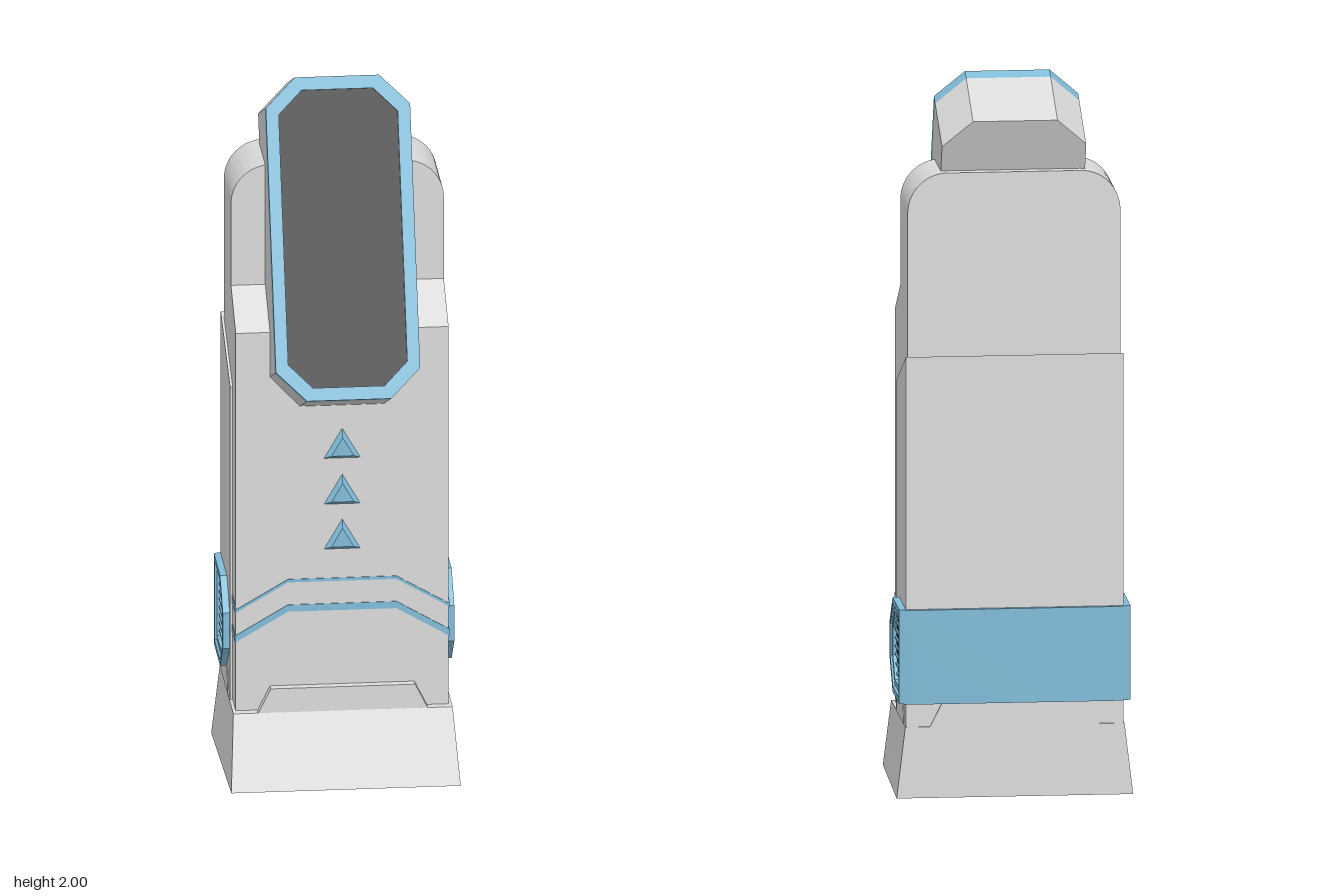
import * as THREE from 'three';
import { toCreasedNormals } from 'three/addons/utils/BufferGeometryUtils.js';

const mat = (name, color) => {
  const m = new THREE.MeshStandardMaterial({ color });
  m.name = name;
  return m;
};

export function createModel() {
  const grey = mat('pale grey shell', 0xdadada);
  const blue = mat('blue trim', 0x80bcd8);
  const black = mat('black screen', 0x363636);
  const dark = mat('dark vent', 0x14303e);

  const root = new THREE.Group();
  root.name = 'kiosk';

  const add = (name, geo, material, parent = root) => {
    const mesh = new THREE.Mesh(geo, material);
    mesh.name = name;
    parent.add(mesh);
    return mesh;
  };
  const toShape = (pts) => new THREE.Shape(pts.map(([a, b]) => new THREE.Vector2(a, b)));

  // Outline in x,y pushed along z from z0 to z1
  const extrudeZ = (shape, z0, z1) => {
    const g = new THREE.ExtrudeGeometry(shape, { depth: z1 - z0, bevelEnabled: false, curveSegments: 10 });
    g.translate(0, 0, z0);
    return toCreasedNormals(g, 0.5);
  };
  // Outline in z,y pushed along x from x0 to x1
  const extrudeX = (shape, x0, x1) => {
    const g = new THREE.ExtrudeGeometry(shape, { depth: x1 - x0, bevelEnabled: false });
    g.rotateY(-Math.PI / 2);
    g.translate(x1, 0, 0);
    return g;
  };
  const ring = (outer, inner) => {
    const s = toShape(outer);
    s.holes.push(new THREE.Path(inner.map(([a, b]) => new THREE.Vector2(a, b))));
    return s;
  };

  // Lower body, with a sloped shoulder at its top front
  add('lowerBody', extrudeX(toShape([
    [-0.26, 0.1], [0.085, 0.1], [0.085, 1.31], [-0.055, 1.4], [-0.26, 1.4],
  ]), -0.295, 0.295), grey);

  // Upper body with rounded top corners
  const upper = new THREE.Shape();
  upper.moveTo(-0.295, 1.4);
  upper.lineTo(0.295, 1.4);
  upper.lineTo(0.295, 1.64);
  upper.absellipse(0.185, 1.64, 0.11, 0.112, 0, Math.PI / 2, false);
  upper.absellipse(-0.185, 1.64, 0.11, 0.112, Math.PI / 2, Math.PI, false);
  add('upperBody', extrudeZ(upper, -0.26, -0.055), grey);

  // Outer rear shell with a sloping top
  add('rearShell', extrudeX(toShape([
    [-0.28, 0.1], [-0.005, 0.1], [-0.005, 1.12], [-0.28, 1.24],
  ]), -0.302, 0.302), grey);

  // Flared foot: a box whose top is drawn in
  const foot = new THREE.BoxGeometry(1, 1, 1);
  const p = foot.attributes.position;
  for (let i = 0; i < p.count; i++) {
    const top = p.getY(i) > 0;
    const front = p.getZ(i) > 0;
    const halfWidth = top ? 0.304 : front ? 0.318 : 0.328;
    p.setXYZ(i, Math.sign(p.getX(i)) * halfWidth, top ? 0.2 : 0, front ? (top ? 0.11 : 0.2) : -0.284);
  }
  foot.computeVertexNormals();
  add('foot', foot, grey);

  // Raised tabs on the foot
  const tab = toShape([[-0.235, 0.2], [0.235, 0.2], [0.2, 0.27], [-0.2, 0.27]]);
  add('frontFootTab', extrudeZ(tab, 0.08, 0.11), grey);
  add('rearFootTab', extrudeZ(tab, -0.284, -0.27), grey);
  const sideTab = toShape([[-0.25, 0.2], [-0.04, 0.2], [-0.07, 0.27], [-0.22, 0.27]]);
  add('sideFootTabs', extrudeX(sideTab, -0.305, 0.305), grey);

  // Tilted head: grey housing, blue rim, inset screen
  const head = new THREE.Group();
  head.name = 'head';
  head.position.set(0, 1.59, 0.11);
  head.rotation.x = -0.414;
  root.add(head);
  const octagon = (w, h, cx, cy) => [
    [-w + cx, -h], [w - cx, -h], [w, -h + cy], [w, h - cy],
    [w - cx, h], [-w + cx, h], [-w, h - cy], [-w, -h + cy],
  ];
  const outline = octagon(0.2, 0.448, 0.083, 0.082);
  const opening = octagon(0.165, 0.412, 0.066, 0.066);
  add('headHousing', extrudeZ(toShape(outline), -0.245, -0.035), grey, head);
  add('screenRim', extrudeZ(ring(outline, opening), -0.035, 0), blue, head);
  add('screen', extrudeZ(toShape(opening), -0.016, -0.008), black, head);

  // Three bevelled arrows on the front
  for (const y of [0.963, 0.828, 0.696]) {
    const g = new THREE.CylinderGeometry(0.036, 0.058, 0.016, 3);
    g.rotateY(Math.PI);
    g.rotateX(Math.PI / 2);
    add('arrow', toCreasedNormals(g, 0.3), blue).position.set(0, y, 0.093);
  }

  // Chevron stripes on the front, continued on the sides
  const chevron = (y, t) => toShape([
    [-0.295, y - 0.085], [-0.15, y], [0.15, y], [0.295, y - 0.085],
    [0.295, y - 0.085 + t], [0.15, y + t], [-0.15, y + t], [-0.295, y - 0.085 + t],
  ]);
  add('lowerFrontStripe', extrudeZ(chevron(0.487, 0.02), 0.084, 0.087), blue);
  add('upperFrontStripe', extrudeZ(chevron(0.573, 0.009), 0.084, 0.087), blue);
  for (const s of [-1, 1]) {
    for (const y of [0.411, 0.497]) {
      add('sideStripe', new THREE.BoxGeometry(0.004, 0.022, 0.088), blue).position.set(s * 0.295, y, 0.042);
    }
  }

  // Vents on both sides: stepped frame, dark well, slats
  const ventOutline = (d) => {
    const c = 0.08 - 0.586 * d;
    const [z0, z1, y0, y1] = [-0.28 + d, -0.02 - d, 0.265 + d, 0.53 - d];
    return [[z0, y0], [z1 - c, y0], [z1, y0 + c], [z1, y1 - c], [z1 - c, y1], [z0, y1]];
  };
  for (const s of [-1, 1]) {
    const vent = new THREE.Group();
    vent.name = s > 0 ? 'leftVent' : 'rightVent';
    root.add(vent);
    const plate = (name, shape, a, b, m) =>
      add(name, extrudeX(shape, s > 0 ? a : -b, s > 0 ? b : -a), m, vent);
    plate('outerFrame', ring(ventOutline(0), ventOutline(0.016)), 0.295, 0.321, blue);
    plate('frameGroove', ring(ventOutline(0.016), ventOutline(0.021)), 0.295, 0.31, dark);
    plate('innerFrame', ring(ventOutline(0.021), ventOutline(0.036)), 0.295, 0.316, blue);
    plate('well', toShape(ventOutline(0.036)), 0.295, 0.305, dark);
    for (let i = 0; i < 8; i++) {
      const y = 0.316 + i * 0.0233;
      const front = -0.056 - Math.max(0, Math.abs(y - 0.3975) - 0.04);
      add('slat', new THREE.BoxGeometry(0.006, 0.005, front + 0.244), blue, vent)
        .position.set(s * 0.307, y, (front - 0.244) / 2);
    }
  }

  // Band wrapping the back between the vents
  const band = new THREE.ExtrudeGeometry(toShape([
    [-0.321, 0.268], [0.321, 0.268], [0.321, 0.28], [0.285, 0.293], [-0.285, 0.293], [-0.321, 0.28],
  ]), { depth: 0.265, bevelEnabled: false });
  band.rotateX(-Math.PI / 2);
  band.translate(0, 0.265, 0);
  add('rearBand', toCreasedNormals(band, 0.5), blue);

  return root;
}
